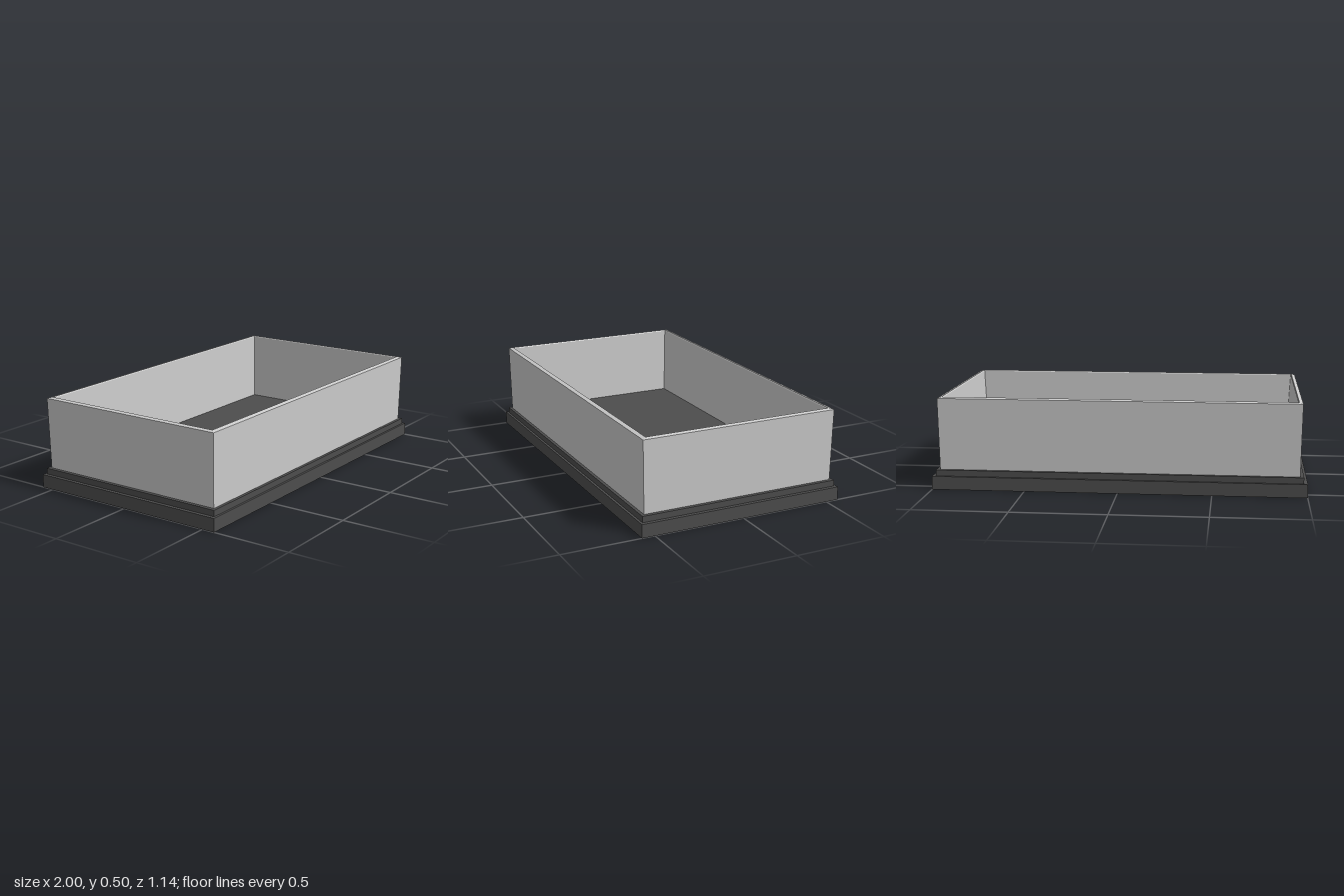
import * as THREE from 'three';

// Skin a run of rectangular sections [halfX, y, halfZ] with flat faces
function rectLoft(sections) {
  const corners = [[1, 1], [1, -1], [-1, -1], [-1, 1]];
  const point = ([hx, y, hz], i) => [corners[i % 4][0] * hx, y, corners[i % 4][1] * hz];
  const positions = [];
  for (let s = 0; s < sections.length - 1; s++) {
    for (let i = 0; i < 4; i++) {
      const a = point(sections[s], i), b = point(sections[s], i + 1);
      const c = point(sections[s + 1], i + 1), d = point(sections[s + 1], i);
      positions.push(...a, ...b, ...c, ...a, ...c, ...d);
    }
  }
  const geometry = new THREE.BufferGeometry();
  geometry.setAttribute('position', new THREE.Float32BufferAttribute(positions, 3));
  geometry.computeVertexNormals();
  return geometry;
}

export function createModel() {
  const group = new THREE.Group();
  const dark = new THREE.MeshStandardMaterial({ color: 0x4d4d4d });
  const grey = new THREE.MeshStandardMaterial({ color: 0xcccccc });

  const add = (name, geometry, material, y = 0) => {
    const mesh = new THREE.Mesh(geometry, material);
    mesh.name = name;
    mesh.position.y = y;
    group.add(mesh);
  };

  // Two-stepped plinth; the upper step is also the tray floor
  add('basePlate', new THREE.BoxGeometry(2, 0.072, 1.14), dark, 0.036);
  add('baseStep', new THREE.BoxGeometry(1.96, 0.034, 1.114), dark, 0.088);

  // Open-topped walls: flared outside, bevelled rim, tapering inside
  add('walls', rectLoft([
    [0.96, 0.1, 0.54],
    [0.966, 0.492, 0.546],
    [0.946, 0.498, 0.524],
    [0.942, 0.492, 0.52],
    [0.922, 0.1, 0.505],
  ]), grey);

  return group;
}
